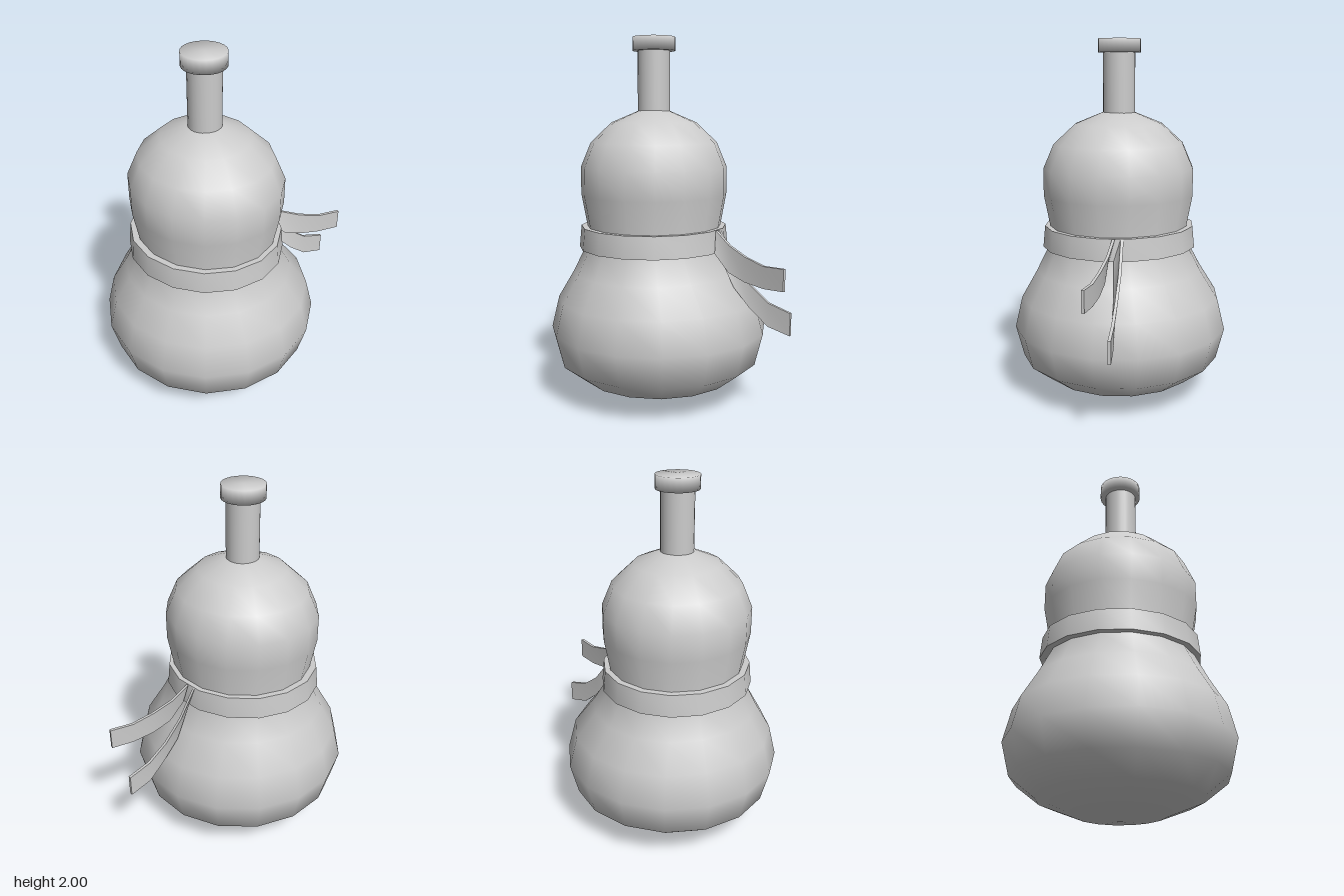
import * as THREE from 'three';
import { toCreasedNormals } from 'three/addons/utils/BufferGeometryUtils.js';

const SIDES = 16;
const START = THREE.MathUtils.degToRad(14);
const AXIS_X = -0.105; // axis of the upper bulb, band and stopper

const grey = () => new THREE.MeshStandardMaterial({ color: 0xcccccc });

function lathe(profile, sides = SIDES) {
  return new THREE.LatheGeometry(profile.map(([r, y]) => new THREE.Vector2(r, y)), sides, START);
}

function addMesh(group, name, geometry) {
  const mesh = new THREE.Mesh(geometry, grey());
  mesh.name = name;
  group.add(mesh);
  return mesh;
}

// Gourd body: round in the lower bulb, slightly shifted and narrowed in x towards the top
function bodyGeometry() {
  const geo = lathe([
    [0, 0.005], [0.235, 0.035], [0.432, 0.113], [0.563, 0.215], [0.607, 0.39], [0.565, 0.565],
    [0.475, 0.715], [0.405, 0.85], [0.393, 0.97], [0.426, 1.145], [0.426, 1.295],
    [0.367, 1.43], [0.246, 1.54], [0.09, 1.603], [0, 1.605],
  ]);
  const pos = geo.attributes.position;
  for (let i = 0; i < pos.count; i++) {
    const t = THREE.MathUtils.smoothstep(pos.getY(i), 0.5, 0.85);
    pos.setX(i, pos.getX(i) * (1 - 0.05 * t) + THREE.MathUtils.lerp(-0.08, AXIS_X, t));
  }
  return geo;
}

// Ribbon tail: each section is [x, top y, top z, bottom y, bottom z]
function ribbonGeometry(sections, nx, nz, thickness = 0.016) {
  const ox = nx * thickness / 2, oz = nz * thickness / 2;
  const verts = [], index = [];
  for (const [x, yt, zt, yb, zb] of sections) {
    verts.push(x + ox, yt, zt + oz, x - ox, yt, zt - oz, x - ox, yb, zb - oz, x + ox, yb, zb + oz);
  }
  const last = (sections.length - 1) * 4;
  for (let s = 0; s < last; s += 4) {
    for (let k = 0; k < 4; k++) {
      const a = s + k, b = s + (k + 1) % 4;
      index.push(a, a + 4, b, b, a + 4, b + 4);
    }
  }
  index.push(0, 1, 2, 0, 2, 3, last, last + 2, last + 1, last, last + 3, last + 2);
  const geo = new THREE.BufferGeometry();
  geo.setAttribute('position', new THREE.Float32BufferAttribute(verts, 3));
  geo.setIndex(index);
  return toCreasedNormals(geo, Math.PI / 5);
}

export function createModel() {
  const group = new THREE.Group();
  group.name = 'gourdBottle';

  addMesh(group, 'body', bodyGeometry());

  // Sash around the waist, a little wider at its lower edge
  const sash = lathe([[0.385, 0.85], [0.438, 0.85], [0.426, 0.97], [0.385, 0.97], [0.385, 0.85]]);
  sash.scale(0.95, 1, 1);
  const band = addMesh(group, 'waistBand', toCreasedNormals(sash, Math.PI / 5));
  band.position.set(AXIS_X - 0.003, 0, -0.004);

  // Loose ends of the sash
  addMesh(group, 'upperRibbon', ribbonGeometry([
    [0.27, 0.97, 0.145, 0.85, 0.18],
    [0.35, 0.90, 0.20, 0.76, 0.222],
    [0.44, 0.855, 0.265, 0.725, 0.275],
    [0.54, 0.825, 0.335, 0.71, 0.338],
    [0.645, 0.83, 0.408, 0.715, 0.408],
  ], -0.56, 0.83));
  addMesh(group, 'lowerRibbon', ribbonGeometry([
    [0.28, 0.97, 0.10, 0.85, 0.14],
    [0.37, 0.81, 0.14, 0.67, 0.167],
    [0.46, 0.69, 0.187, 0.57, 0.203],
    [0.56, 0.61, 0.235, 0.485, 0.24],
    [0.676, 0.575, 0.288, 0.455, 0.288],
  ], -0.39, 0.92));

  // Spout and stopper, with soft shading over the stopper's edges
  const spout = addMesh(group, 'spout', new THREE.CylinderGeometry(0.089, 0.089, 0.36, 24, 1, true));
  spout.position.set(AXIS_X, 1.76, -0.002);
  const stopper = addMesh(group, 'stopper',
    lathe([[0, 1.926], [0.117, 1.926], [0.117, 2], [0, 2]], 24));
  stopper.position.set(AXIS_X, 0, -0.004);

  return group;
}
